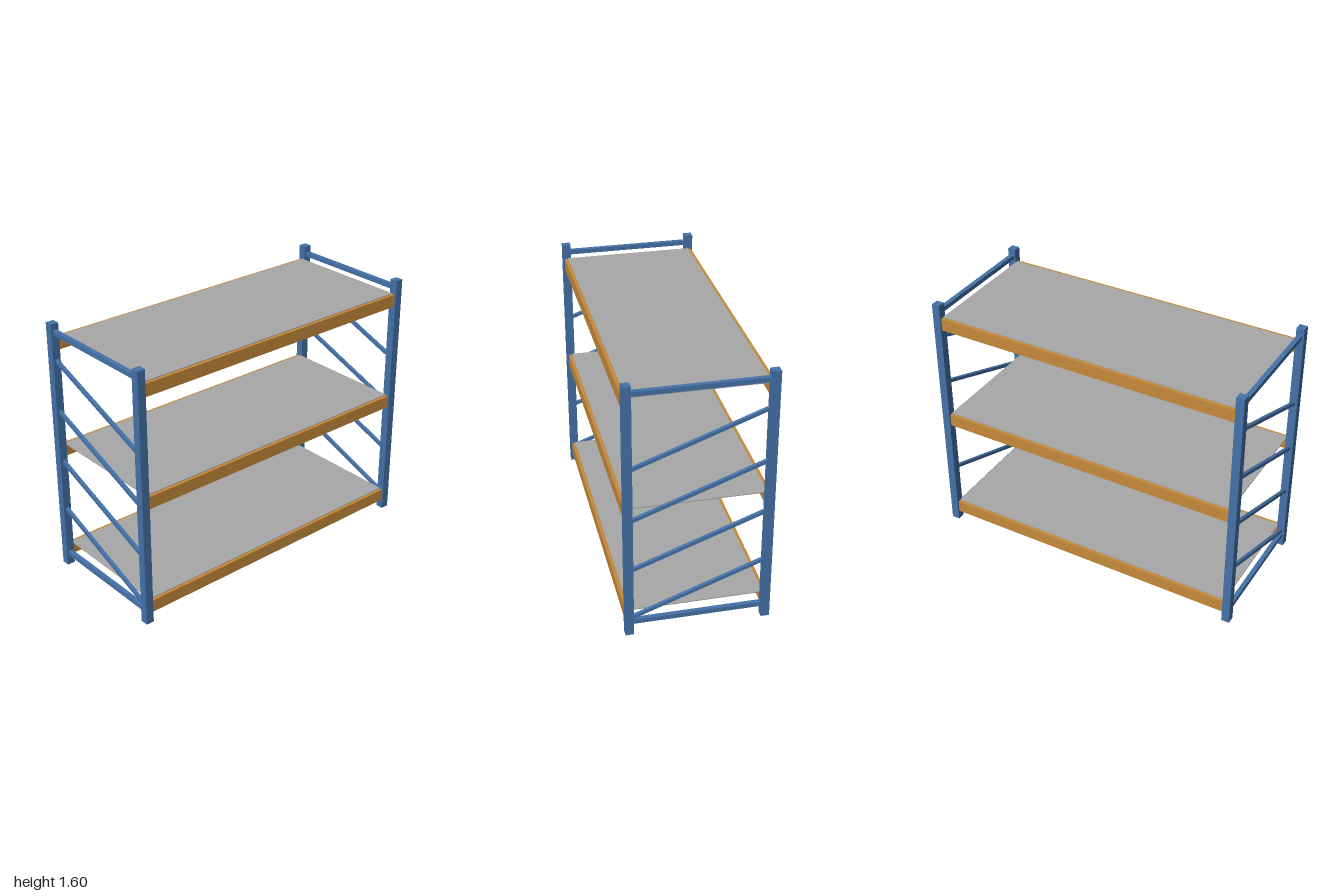
import * as THREE from 'three';

export function createModel() {
  const mat = (name, color) => {
    const m = new THREE.MeshStandardMaterial({ color });
    m.name = name;
    return m;
  };
  const blue = mat('frame blue', 0x4472a8);
  const orange = mat('beam orange', 0xc68a3a);
  const grey = mat('deck grey', 0xa8a8a8);

  const model = new THREE.Group();
  model.name = 'palletRack';

  const box = (parent, name, material, size, pos) => {
    const mesh = new THREE.Mesh(new THREE.BoxGeometry(...size), material);
    mesh.name = name;
    mesh.position.set(...pos);
    parent.add(mesh);
    return mesh;
  };

  const postX = 0.975, postZ = 0.4, postW = 0.05, height = 1.6;

  // End frames: two posts, two level ties and four diagonal braces each
  for (const side of [1, -1]) {
    const frame = new THREE.Group();
    frame.name = side > 0 ? 'leftEndFrame' : 'rightEndFrame';
    frame.position.x = side * postX;
    model.add(frame);

    for (const z of [postZ, -postZ]) {
      box(frame, z > 0 ? 'frontPost' : 'backPost', blue, [postW, height, postW], [0, height / 2, z]);
    }
    for (const y of [0.08, 1.548]) {
      box(frame, 'levelTie', blue, [0.028, 0.028, 2 * postZ], [0, y, 0]);
    }
    // Braces rise from the front post to the back post
    const rise = 0.3, run = 2 * postZ;
    for (let i = 0; i < 4; i++) {
      const brace = box(frame, 'diagonalBrace', blue, [0.02, 0.02, Math.hypot(rise, run)], [0, 0.25 + i * 0.327, 0]);
      brace.rotation.x = Math.atan2(rise, run);
    }
  }

  // Shelves: front and back beams, a thin deck and cross bars beneath it
  const deckThick = 0.006, barH = 0.024, beamH = 0.077;
  for (const top of [0.141, 0.828, 1.514]) {
    const shelf = new THREE.Group();
    shelf.name = 'shelf';
    shelf.position.y = top;
    model.add(shelf);

    box(shelf, 'deck', grey, [1.9, deckThick, 0.79], [0, -deckThick / 2, 0]);
    for (const z of [postZ, -postZ]) {
      box(shelf, z > 0 ? 'frontBeam' : 'backBeam', orange, [1.9, beamH, 0.03], [0, -deckThick + 0.001 - beamH / 2, z]);
    }
    for (let i = -2; i <= 2; i++) {
      box(shelf, 'crossBar', grey, [0.024, barH, 0.78], [i * 0.328, -deckThick - barH / 2, 0]);
    }
  }
  return model;
}
